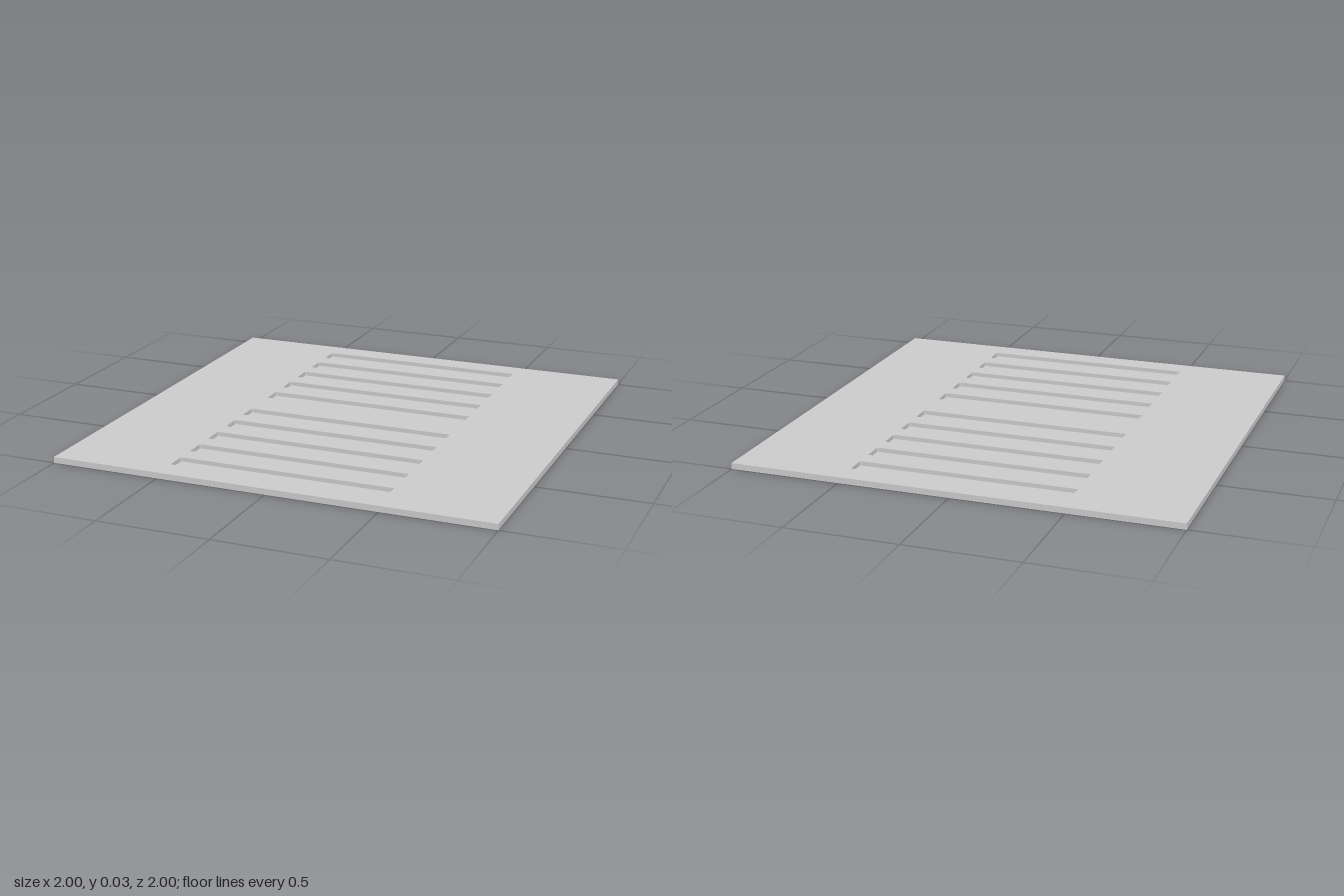
import * as THREE from 'three';

const SIZE = 2, HEIGHT = 0.027, FLOOR = 0.008;
const SLOT_LENGTH = 0.98, SLOT_WIDTH = 0.094, CORNER = 0.008;

// Rounded slot outline centred on (0, y)
function slotPath(y) {
  const x = SLOT_LENGTH / 2, h = SLOT_WIDTH / 2, r = CORNER;
  const p = new THREE.Path();
  p.absarc(x - r, y + h - r, r, 0, Math.PI / 2);
  p.absarc(-x + r, y + h - r, r, Math.PI / 2, Math.PI);
  p.absarc(-x + r, y - h + r, r, Math.PI, Math.PI * 1.5);
  p.absarc(x - r, y - h + r, r, Math.PI * 1.5, Math.PI * 2);
  p.closePath();
  return p;
}

export function createModel() {
  const group = new THREE.Group();
  group.name = 'slottedPlate';
  const material = new THREE.MeshStandardMaterial({ color: 0xcccccc });

  // Solid underside, which closes the slots
  const base = new THREE.Mesh(new THREE.BoxGeometry(SIZE, FLOOR, SIZE), material);
  base.name = 'basePlate';
  base.position.y = FLOOR / 2;
  group.add(base);

  // Upper layer with two mirrored banks of five slots
  const half = SIZE / 2;
  const shape = new THREE.Shape([
    new THREE.Vector2(-half, -half), new THREE.Vector2(half, -half),
    new THREE.Vector2(half, half), new THREE.Vector2(-half, half),
  ]);
  for (const side of [-1, 1]) {
    for (let i = 0; i < 5; i++) shape.holes.push(slotPath(side * (0.136 + i * 0.177)));
  }
  const layer = new THREE.ExtrudeGeometry(shape, {
    depth: HEIGHT - FLOOR, bevelEnabled: false, curveSegments: 4,
  });
  layer.rotateX(-Math.PI / 2);
  const top = new THREE.Mesh(layer, material);
  top.name = 'slottedTop';
  top.position.y = FLOOR;
  group.add(top);

  return group;
}
